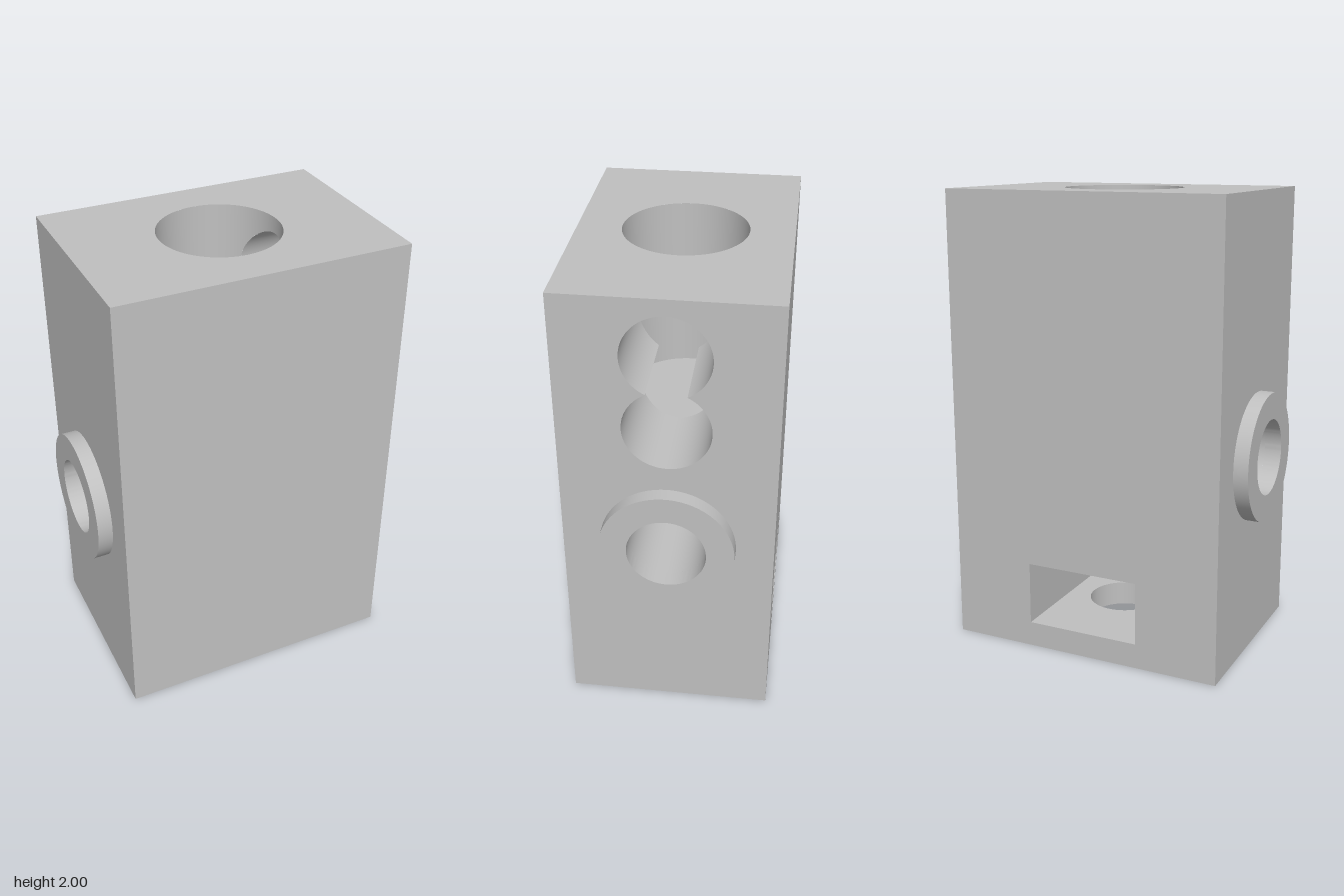
import * as THREE from 'three';
import { toCreasedNormals } from 'three/addons/utils/BufferGeometryUtils.js';

const W = 0.6225, H = 2, D = 0.4365;                     // half width, height, half depth
const WELL_R = 0.256, WELL_FLOOR = 1.25;                 // round well in the top
const SLOT_R = 0.177, SLOT_LOW = 1.44, SLOT_HIGH = 1.755; // figure-eight opening
const BORE_R = 0.164, BORE_Y = 0.88;                     // cross bore
const BOSS_R = 0.28, BOSS_X = 0.6865;
const POCKET_X = 0.256, POCKET_Z = 0.26, POCKET_LOW = 0.11, POCKET_TOP = 0.387;
const DRAIN_R = 0.16;                                    // hole in the base
const N = 64;
const V = (x, y, z) => new THREE.Vector3(x, y, z);

function rect(x0, y0, x1, y1, Type = THREE.Shape) {
  return new Type([[x0, y0], [x1, y0], [x1, y1], [x0, y1]].map(p => new THREE.Vector2(...p)));
}

function circle(r, y = 0, Type = THREE.Path) {
  return new Type().absarc(0, y, r, 0, Math.PI * 2, false);
}

// Smooth band between two rows of points, always facing along normalAt(point)
function ribbon(a, b, normalAt) {
  const pts = [...a, ...b], n = a.length, index = [];
  const addTriangle = (i, j, k) => {
    const face = pts[j].clone().sub(pts[i]).cross(pts[k].clone().sub(pts[i]));
    if (face.length() < 1e-9) return;
    const towards = normalAt(pts[i]).add(normalAt(pts[j])).add(normalAt(pts[k]));
    index.push(...(face.dot(towards) > 0 ? [i, j, k] : [i, k, j]));
  };
  for (let i = 0; i < n - 1; i++) {
    addTriangle(i, i + 1, n + i);
    addTriangle(i + 1, n + i + 1, n + i);
  }
  const geo = new THREE.BufferGeometry();
  geo.setAttribute('position', new THREE.Float32BufferAttribute(pts.flatMap(p => p.toArray()), 3));
  geo.setAttribute('normal', new THREE.Float32BufferAttribute(pts.flatMap(p => normalAt(p).normalize().toArray()), 3));
  geo.setIndex(index);
  return geo;
}

// Evenly spaced angles
const angles = (from, to, n = N) => Array.from({ length: n + 1 }, (_, i) => from + (to - from) * i / n);

export function createModel() {
  const model = new THREE.Group();
  model.name = 'drilledBlock';
  const grey = new THREE.MeshStandardMaterial({ color: 0xc0c0c0 });
  grey.name = 'grey';

  function add(name, geometry, parent = model) {
    const mesh = new THREE.Mesh(geometry, grey);
    mesh.name = name;
    parent.add(mesh);
    return mesh;
  }
  function panel(name, shape, [rx, ry], [x, y, z], holes = []) {
    shape.holes.push(...holes);
    const mesh = add(name, new THREE.ShapeGeometry(shape, N));
    mesh.rotation.set(rx, ry, 0);
    mesh.position.set(x, y, z);
  }
  const Q = Math.PI / 2;

  // Figure-eight outline as two arcs meeting at the waist
  const half = (SLOT_HIGH - SLOT_LOW) / 2;
  const phi = Math.asin(half / SLOT_R);
  const arc = (cy, from, to) => angles(from, to).map(t =>
    new THREE.Vector2(SLOT_R * Math.cos(t), cy + SLOT_R * Math.sin(t)));
  const upper = arc(SLOT_HIGH, -phi, Math.PI + phi);
  const lower = arc(SLOT_LOW, Math.PI - phi, Math.PI * 2 + phi);
  const eight = new THREE.Path([...upper.slice(0, -1), ...lower.slice(0, -1)]);

  // Outer faces of the block
  panel('frontFace', rect(-W, 0, W, H), [0, 0], [0, 0, D]);
  panel('backFace', rect(-W, 0, W, H), [0, Math.PI], [0, 0, -D],
    [rect(-POCKET_X, POCKET_LOW, POCKET_X, POCKET_TOP, THREE.Path)]);
  panel('slottedSide', rect(-D, 0, D, H), [0, Q], [W, 0, 0], [eight, circle(BORE_R, BORE_Y)]);
  panel('plainSide', rect(-D, 0, D, H), [0, -Q], [-W, 0, 0], [circle(BORE_R, BORE_Y)]);
  panel('topFace', rect(-W, -D, W, D), [-Q, 0], [0, H, 0], [circle(WELL_R)]);
  panel('bottomFace', rect(-W, -D, W, D), [Q, 0], [0, 0, 0], [circle(DRAIN_R)]);

  // Round well: plain wall, plus strips around the figure-eight opening
  panel('wellFloor', circle(WELL_R, 0, THREE.Shape), [-Q, 0], [0, WELL_FLOOR, 0]);
  const inward = p => V(-p.x, 0, -p.z);
  const edge = Math.asin(SLOT_R / WELL_R);
  const wellRow = y => angles(edge, Math.PI * 2 - edge).map(t =>
    V(WELL_R * Math.cos(t), y, WELL_R * Math.sin(t)));
  add('wellWall', ribbon(wellRow(WELL_FLOOR), wellRow(H), inward));
  const openRow = yAt => angles(-Q, Q).map(t => {
    const z = SLOT_R * Math.sin(t);
    return V(Math.sqrt(WELL_R ** 2 - z * z), yAt(SLOT_R * Math.cos(t)), z);
  });
  add('wellWallBelowSlot', ribbon(openRow(() => WELL_FLOOR), openRow(h => SLOT_LOW - h), inward));
  add('wellWallAtWaist', ribbon(openRow(h => SLOT_LOW + Math.min(h, half)),
    openRow(h => SLOT_HIGH - Math.min(h, half)), inward));
  add('wellWallAboveSlot', ribbon(openRow(h => SLOT_HIGH + h), openRow(() => H), inward));

  // Walls of the figure-eight opening, from the side face to the well
  for (const [name, pts, cy] of [['slotUpperWall', upper, SLOT_HIGH], ['slotLowerWall', lower, SLOT_LOW]]) {
    add(name, ribbon(
      pts.map(p => V(W, p.y, -p.x)),
      pts.map(p => V(Math.sqrt(WELL_R ** 2 - p.x ** 2), p.y, -p.x)),
      p => V(0, cy - p.y, -p.z)));
  }

  // Cross bore with a raised ring at both ends
  const bossInner = W - 0.01;
  const boreRow = x => angles(0, Math.PI * 2).map(t =>
    V(x, BORE_Y + BORE_R * Math.sin(t), BORE_R * Math.cos(t)));
  add('crossBore', ribbon(boreRow(-bossInner), boreRow(bossInner), p => V(0, BORE_Y - p.y, -p.z)));
  const ring = circle(BOSS_R, 0, THREE.Shape);
  ring.holes.push(circle(BORE_R));
  const ringGeo = toCreasedNormals(new THREE.ExtrudeGeometry(ring,
    { depth: BOSS_X - bossInner, bevelEnabled: false, curveSegments: N }), 0.6);
  for (const side of [1, -1]) {
    const boss = add(side > 0 ? 'leftBoss' : 'rightBoss', ringGeo);
    boss.rotation.y = side * Q;
    boss.position.set(side * bossInner, BORE_Y, 0);
  }

  // Square pocket in the back
  const depthRect = () => rect(-POCKET_X, -POCKET_Z, POCKET_X, D);
  panel('pocketFloor', depthRect(), [-Q, 0], [0, POCKET_LOW, 0], [circle(DRAIN_R)]);
  panel('pocketCeiling', rect(-POCKET_X, -D, POCKET_X, POCKET_Z), [Q, 0], [0, POCKET_TOP, 0]);
  panel('pocketEnd', rect(-POCKET_X, POCKET_LOW, POCKET_X, POCKET_TOP), [0, Math.PI], [0, 0, POCKET_Z]);
  panel('pocketLeftWall', rect(-D, POCKET_LOW, POCKET_Z, POCKET_TOP), [0, -Q], [POCKET_X, 0, 0]);
  panel('pocketRightWall', rect(-POCKET_Z, POCKET_LOW, D, POCKET_TOP), [0, Q], [-POCKET_X, 0, 0]);

  // Hole through the base into the pocket
  const drainRow = y => angles(0, Math.PI * 2).map(t => V(DRAIN_R * Math.cos(t), y, DRAIN_R * Math.sin(t)));
  add('baseHole', ribbon(drainRow(0), drainRow(POCKET_LOW), inward));

  return model;
}
